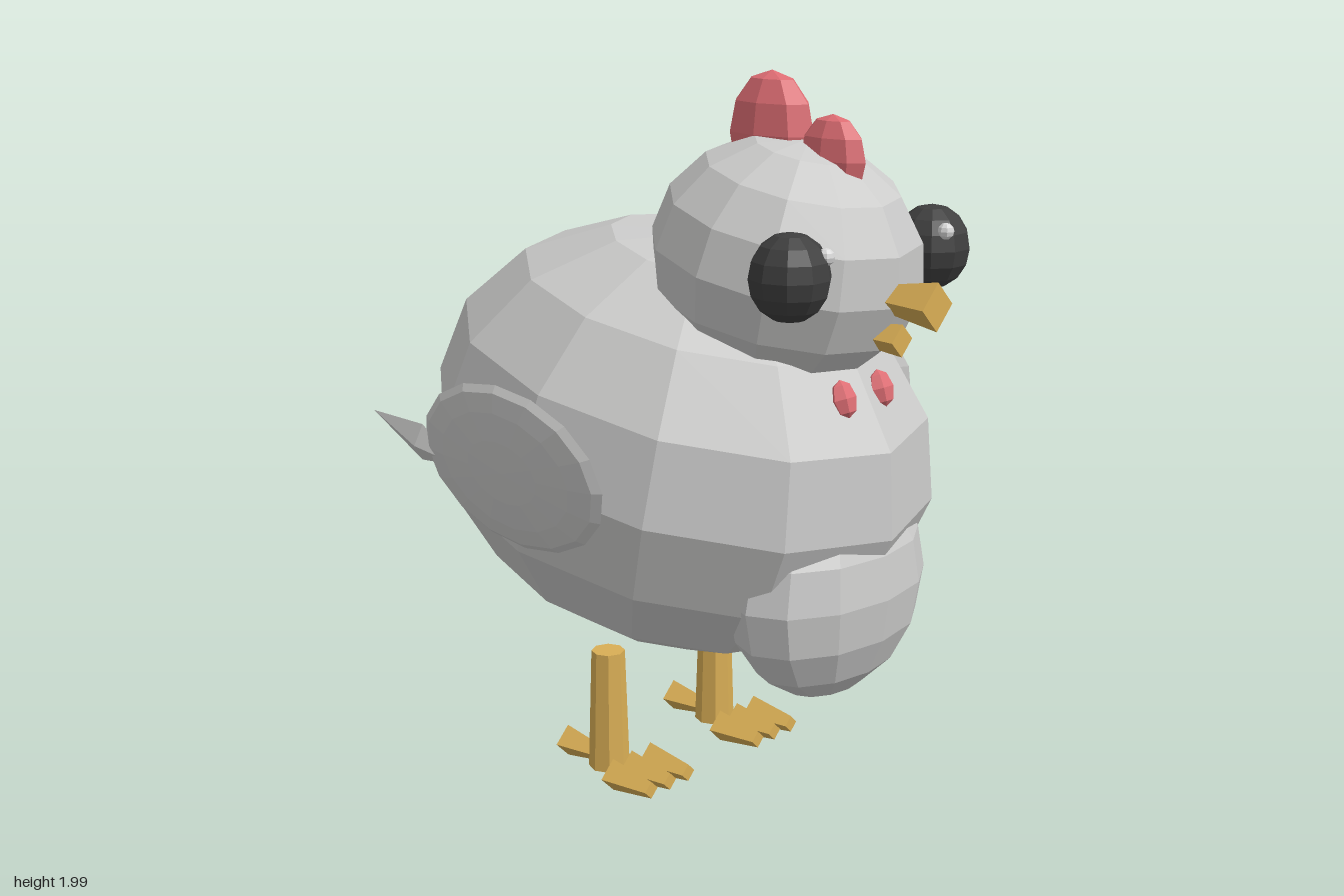
import * as THREE from 'three';

const mat = (name, color) => {
  const m = new THREE.MeshStandardMaterial({ color });
  m.name = name;
  return m;
};

export function createModel() {
  const plumage = mat('plumage grey', 0xcbcbca);
  const red = mat('comb red', 0xdf6e74);
  const yellow = mat('beak yellow', 0xd9ae55);
  const black = mat('eye black', 0x3e3e3e);
  const glint = mat('eye glint', 0xd8d8d8);

  const model = new THREE.Group();
  model.name = 'chicken';

  // Faceted mesh: unshared corners give flat normals
  const add = (name, geometry, material, pos) => {
    const flat = geometry.index ? geometry.toNonIndexed() : geometry;
    flat.computeVertexNormals();
    const mesh = new THREE.Mesh(flat, material);
    mesh.name = name;
    mesh.position.set(...pos);
    model.add(mesh);
    return mesh;
  };

  const ball = (name, material, pos, radii, segs = 12, rows = 8, tilt = 0) => {
    const g = new THREE.SphereGeometry(1, segs, rows).scale(...radii);
    return add(name, g.rotateX(tilt), material, pos);
  };

  // Diamond-section tapered block lying along z, from zBack to zFront
  const wedge = (name, x, y, zBack, rBack, zFront, rFront) => {
    const g = new THREE.CylinderGeometry(rFront, rBack, zFront - zBack, 4).rotateX(Math.PI / 2);
    return add(name, g, yellow, [x, y, (zBack + zFront) / 2]);
  };

  // Thin pointed feather running from base to tip, widened along "across"
  const feather = (name, base, tip, across, profile, thickness, segs) => {
    const b = new THREE.Vector3(...base);
    const dir = new THREE.Vector3(...tip).sub(b);
    const length = dir.length();
    dir.normalize();
    const side = new THREE.Vector3(...across);
    side.addScaledVector(dir, -side.dot(dir)).normalize();
    const normal = side.clone().cross(dir);
    const pts = profile.map(([r, t]) => new THREE.Vector2(r, t * length));
    const g = new THREE.LatheGeometry(pts, segs).rotateY(Math.PI / 2).scale(1, 1, thickness);
    g.applyMatrix4(new THREE.Matrix4().makeBasis(side, dir, normal));
    return add(name, g, plumage, base);
  };

  // Body, head and breast
  ball('body', plumage, [0, 0.985, -0.015], [0.62, 0.585, 0.76], 12, 8, 0.2);
  ball('head', plumage, [0, 1.52, 0.365], [0.348, 0.325, 0.37], 12, 8, 0.22);
  ball('breast', plumage, [0, 0.67, 0.525], [0.335, 0.305, 0.2], 12, 8);

  // Comb
  ball('backComb', red, [0, 1.84, 0.31], [0.072, 0.16, 0.138], 8, 6);
  ball('frontComb', red, [0, 1.79, 0.51], [0.052, 0.113, 0.105], 8, 6);

  // Beak, flaring outwards
  wedge('upperBeak', 0, 1.46, 0.68, 0.034, 0.845, 0.062);
  wedge('lowerBeak', 0, 1.36, 0.62, 0.03, 0.742, 0.042);

  const tailLeaf = [[0, 0], [0.065, 0.25], [0.085, 0.55], [0.05, 0.85], [0, 1]];
  const wingLeaf = [[0, 0], [0.058, 0.42], [0, 1]];

  for (const s of [1, -1]) {
    const prefix = s > 0 ? 'left' : 'right';

    // Eyes with a small highlight
    ball(prefix + 'Eye', black, [s * 0.288, 1.545, 0.615], [0.104, 0.111, 0.104], 10, 8);
    ball(prefix + 'EyeGlint', glint, [s * 0.245, 1.598, 0.69], [0.022, 0.022, 0.022], 8, 6);

    // Wattles
    ball(prefix + 'Wattle', red, [s * 0.077, 1.205, 0.625], [0.04, 0.05, 0.028], 6, 4, -0.35);

    // Wing disc, leaning outwards at the top, with a pointed feather behind
    const wing = new THREE.SphereGeometry(1, 16, 8).rotateZ(Math.PI / 2);
    wing.scale(0.037, 0.232, 0.33).rotateZ(-s * 0.2);
    add(prefix + 'Wing', wing, plumage, [s * 0.634, 1.017, -0.012]);
    feather(prefix + 'WingFeather', [s * 0.63, 0.98, -0.22], [s * 0.643, 1.075, -0.548],
      [s * 0.2, 1, 0], wingLeaf, 0.5, 4);

    // Tail feathers
    feather(prefix + 'OuterTailFeather', [s * 0.13, 0.96, -0.63], [s * 0.15, 0.8, -0.845],
      [1, 0, 0], tailLeaf, 0.22, 6);
    feather(prefix + 'InnerTailFeather', [s * 0.05, 0.91, -0.64], [s * 0.065, 0.73, -0.815],
      [1, 0, 0], tailLeaf, 0.22, 6);

    // Leg with three front toes and one back toe
    add(prefix + 'Leg', new THREE.CylinderGeometry(0.047, 0.058, 0.35, 8), yellow,
      [s * 0.225, 0.205, -0.077]);
    for (const dx of [-0.075, 0, 0.075]) {
      wedge(prefix + 'FrontToe', s * 0.225 + dx, 0.054, 0.013, 0.047, 0.16, 0.025);
    }
    wedge(prefix + 'BackToe', s * 0.225, 0.054, -0.245, 0.047, -0.115, 0.025);
  }

  // Lowest tail feather in the middle
  feather('middleTailFeather', [0, 0.87, -0.64], [0, 0.67, -0.765], [1, 0, 0], tailLeaf, 0.22, 6);

  return model;
}
